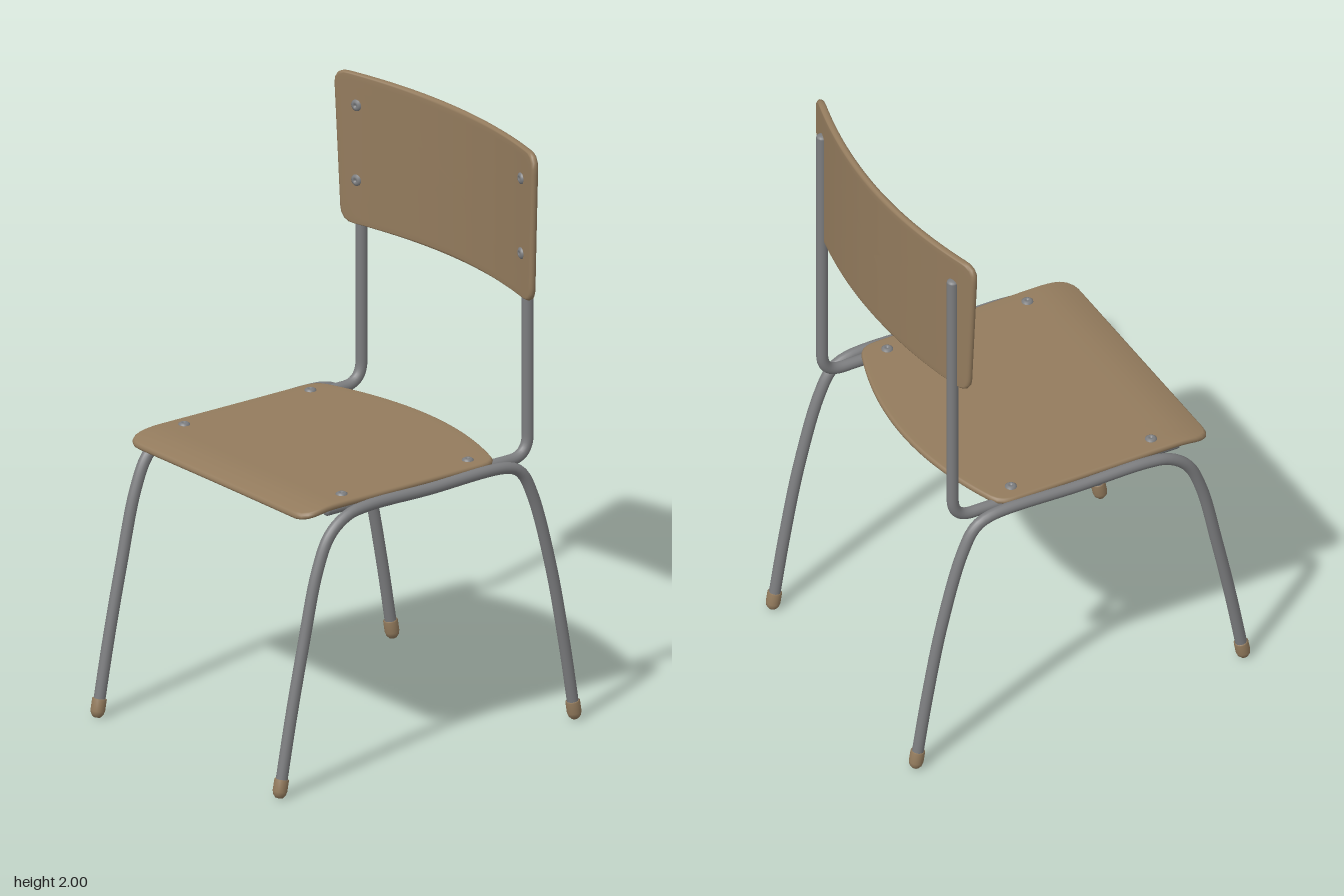
import * as THREE from 'three';

const wood = new THREE.MeshStandardMaterial({ name: 'wood brown', color: 0x937b5d });
const steel = new THREE.MeshStandardMaterial({ name: 'steel grey', color: 0x7c7d7f });

const TUBE = 0.0195;
const v = (x, y, z) => new THREE.Vector3(x, y, z);

function add(parent, name, geometry, material) {
  const mesh = new THREE.Mesh(geometry, material);
  mesh.name = name;
  parent.add(mesh);
  return mesh;
}

// Thin plate with rounded rim: concentric rings of an outline, placed by a bending rule
function plate(shape, thickness, place) {
  const n = 144, rings = 14, r = thickness / 2;
  const outline = shape.getSpacedPoints(n).slice(0, n);
  const profile = []; // [scale, inset, height]
  for (let k = 0; k <= rings; k++) profile.push([Math.max(k / rings, 0.0005), k / rings * r, r]);
  for (let k = 1; k < 6; k++) {
    const a = k / 6 * Math.PI;
    profile.push([1, r * (1 - Math.sin(a)), r * Math.cos(a)]);
  }
  for (let k = rings; k >= 0; k--) profile.push([Math.max(k / rings, 0.0005), k / rings * r, -r]);

  const positions = [], index = [];
  profile.forEach(([scale, inset, h], i) => {
    outline.forEach((p, j) => {
      const s = scale - inset / p.length();
      positions.push(...place(p.x * Math.max(s, 0.0002), p.y * Math.max(s, 0.0002), h));
      if (i === profile.length - 1) return;
      const j2 = (j + 1) % n, a = i * n, b = a + n;
      index.push(a + j, b + j, b + j2, a + j, b + j2, a + j2);
    });
  });
  const g = new THREE.BufferGeometry();
  g.setAttribute('position', new THREE.Float32BufferAttribute(positions, 3));
  g.setIndex(index);
  g.computeVertexNormals();
  return g;
}

// Closed polygon with rounded corners
function roundedShape(corners, radius) {
  const shape = new THREE.Shape();
  corners.forEach((c, i) => {
    const p = new THREE.Vector2(...c);
    const prev = new THREE.Vector2(...corners[(i + corners.length - 1) % corners.length]);
    const next = new THREE.Vector2(...corners[(i + 1) % corners.length]);
    const a = p.clone().add(prev.sub(p).setLength(radius));
    const b = p.clone().add(next.sub(p).setLength(radius));
    if (i) shape.lineTo(a.x, a.y); else shape.moveTo(a.x, a.y);
    shape.quadraticCurveTo(p.x, p.y, b.x, b.y);
  });
  shape.closePath();
  return shape;
}

// Shallow domed screw head with a small socket, axis along +y
function screw(parent, name, position, normal) {
  const pts = [[0, 0.003], [0.005, 0.003], [0.006, 0.008], [0.013, 0.007], [0.019, 0.003], [0.02, -0.004]];
  const g = new THREE.LatheGeometry(pts.reverse().map(p => new THREE.Vector2(...p)), 24);
  const mesh = add(parent, name, g, steel);
  mesh.position.copy(position);
  mesh.quaternion.setFromUnitVectors(v(0, 1, 0), normal.normalize());
}

export function createModel() {
  const chair = new THREE.Group();
  chair.name = 'chair';

  // Seat: flat panel with arched rear edge and drooping front lip
  const seatShape = new THREE.Shape();
  seatShape.moveTo(-0.41, -0.495);
  seatShape.lineTo(0.41, -0.495);
  seatShape.quadraticCurveTo(0.473, -0.495, 0.473, -0.43);
  seatShape.lineTo(0.473, 0.24);
  seatShape.quadraticCurveTo(0.473, 0.292, 0.42, 0.308);
  seatShape.quadraticCurveTo(0, 0.468, -0.42, 0.308);
  seatShape.quadraticCurveTo(-0.473, 0.292, -0.473, 0.24);
  seatShape.lineTo(-0.473, -0.43);
  seatShape.quadraticCurveTo(-0.473, -0.495, -0.41, -0.495);
  const droop = z => 0.022 * Math.max(0, (z - 0.36) / 0.135) ** 2;
  add(chair, 'seat', plate(seatShape, 0.022, (a, b, c) => [a, 0.951 + c - droop(-b), -b]), wood);

  // Backrest: tapered panel curved around the sitter
  const backShape = roundedShape(
    [[-0.503, -0.26], [0.503, -0.26], [0.53, 0.26], [-0.53, 0.26]], 0.05);
  const bend = x => -0.487 + x * x / 3.55;
  add(chair, 'backrest', plate(backShape, 0.024, (a, b, c) => {
    const slope = 2 * a / 3.55;
    const l = Math.hypot(slope, 1);
    return [a - c * slope / l, 1.74 + b, bend(a) + c / l];
  }), wood);

  for (const [side, s] of [['left', 1], ['right', -1]]) {
    const frame = new THREE.Group();
    frame.name = side + 'Frame';
    chair.add(frame);

    // Front leg, side rail and rear leg in one bent tube
    const x = 0.479 * s;
    const legPath = new THREE.CatmullRomCurve3([
      [0.02, 0.605], [0.27, 0.558], [0.505, 0.508], [0.75, 0.45], [0.86, 0.4], [0.913, 0.33],
      [0.928, 0.25], [0.928, 0], [0.928, -0.33], [0.9, -0.386], [0.81, -0.434],
      [0.55, -0.508], [0.28, -0.562], [0.02, -0.605],
    ].map(([y, z]) => v(x, y, z)));
    add(frame, 'legTube', new THREE.TubeGeometry(legPath, 120, TUBE, 16), steel);

    // Rubber feet
    for (const [end, t, sign] of [['front', 0, 1], ['rear', 1, -1]]) {
      const foot = add(frame, end + 'Foot', new THREE.LatheGeometry([
        [0, -0.018], [0.013, -0.016], [0.021, -0.006], [0.024, 0.006], [0.024, 0.045], [0.019, 0.047],
      ].map(p => new THREE.Vector2(...p)), 20), wood);
      foot.position.copy(legPath.getPointAt(t));
      foot.quaternion.setFromUnitVectors(v(0, 1, 0), legPath.getTangentAt(t).multiplyScalar(sign));
    }

    // Inner tube: runs beneath the seat, then bends up to carry the backrest
    const px = 0.437 * s;
    const post = new THREE.CurvePath();
    post.add(new THREE.LineCurve3(v(px, 0.932, 0.38), v(px, 0.932, -0.37)));
    post.add(new THREE.QuadraticBezierCurve3(v(px, 0.932, -0.37), v(px, 0.932, -0.446), v(px, 1.01, -0.446)));
    post.add(new THREE.LineCurve3(v(px, 1.01, -0.446), v(px, 1.9, -0.446)));
    add(frame, 'backPost', new THREE.TubeGeometry(post, 140, TUBE, 16), steel);
    for (const t of [0, 1]) {
      const cap = add(frame, 'postCap', new THREE.SphereGeometry(TUBE, 16, 10), steel);
      cap.position.copy(post.getPointAt(t));
      cap.scale.set(1, t ? 0.5 : 1, t ? 1 : 0.5);
    }

    // Screws
    for (const z of [-0.218, 0.3]) {
      screw(frame, 'seatScrew', v(0.414 * s, 0.962, z), v(0, 1, 0));
    }
    for (const y of [1.635, 1.893]) {
      const sx = 0.433 * s;
      screw(frame, 'backScrew', v(sx, y, bend(sx) + 0.0125), v(-2 * sx / 3.55, 0, 1));
    }
  }
  return chair;
}
